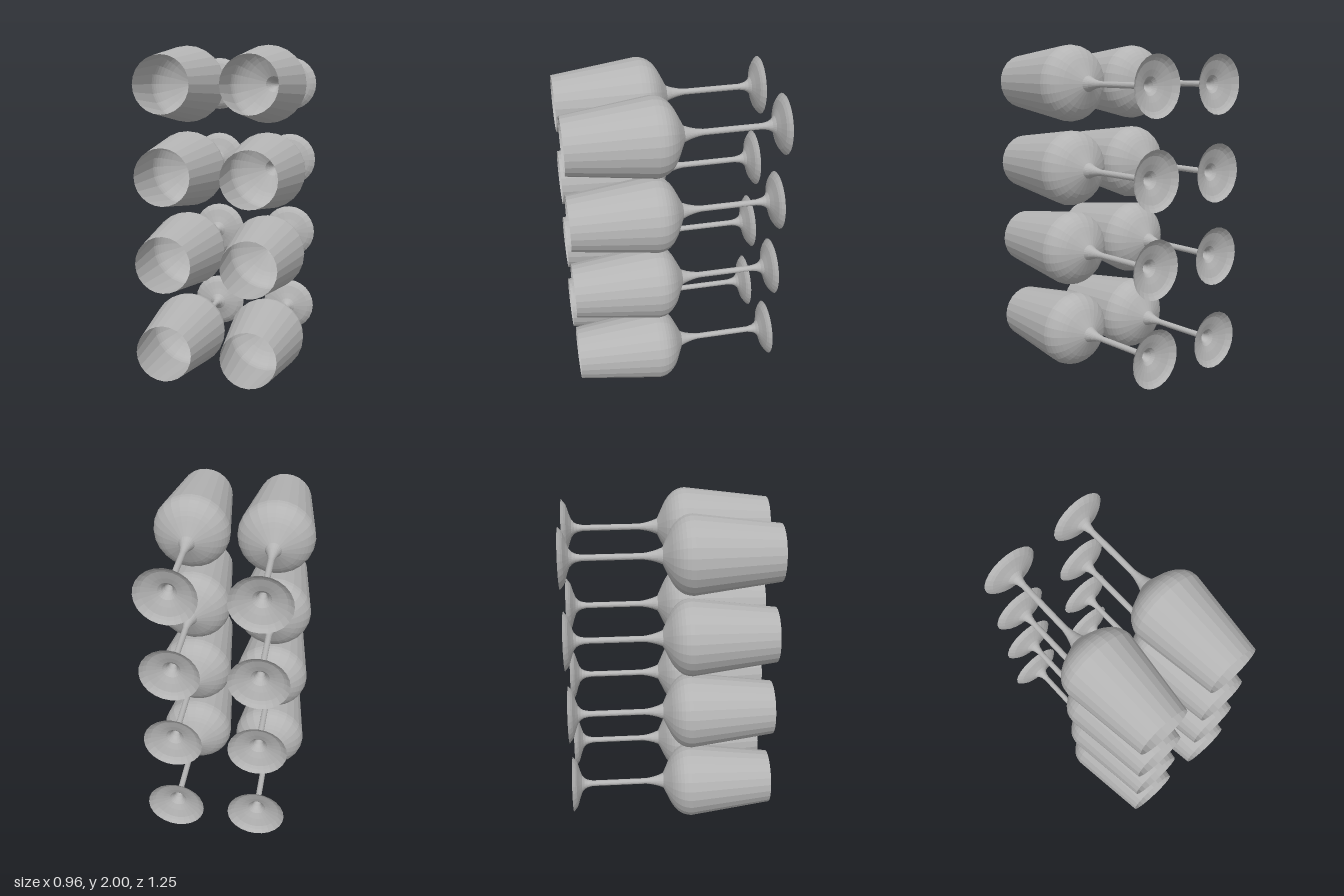
import * as THREE from 'three';

const SEGMENTS = 24;

// Profiles as [radius, position along the glass axis], from foot to rim
const FOOT = [[0.175, -0.624], [0.155, -0.607], [0.139, -0.597], [0.09, -0.582], [0.053, -0.568], [0.035, -0.552], [0.025, -0.533], [0.018, -0.5]];
const STEM = [[0.018, -0.5], [0.018, -0.16], [0.021, -0.137], [0.026, -0.112], [0.035, -0.08], [0.048, -0.048]];
const BOWL = [[0.048, -0.048], [0.125, -0.011], [0.152, 0.003], [0.175, 0.019], [0.193, 0.035], [0.208, 0.053], [0.22, 0.074], [0.227, 0.097], [0.23, 0.122], [0.165, 0.624]];

// Open thin shell turned around the z axis
function turned(profile) {
  const points = profile.map(([r, z]) => new THREE.Vector2(r, z));
  return new THREE.LatheGeometry(points, SEGMENTS).rotateX(Math.PI / 2);
}

export function createModel() {
  const glassGrey = new THREE.MeshStandardMaterial({ color: 0xb4b4b4, flatShading: true, side: THREE.DoubleSide });
  glassGrey.name = 'glassGrey';

  const parts = { foot: turned(FOOT), stem: turned(STEM), bowl: turned(BOWL) };
  const model = new THREE.Group();
  model.name = 'wineGlassStack';

  // Four rows of two glasses lying on their sides, rims to the front
  for (const y of [0.23, 0.753, 1.255, 1.77]) {
    for (const x of [-0.25, 0.25]) {
      const glass = new THREE.Group();
      glass.name = 'wineGlass';
      for (const [name, geometry] of Object.entries(parts)) {
        const mesh = new THREE.Mesh(geometry, glassGrey);
        mesh.name = name;
        glass.add(mesh);
      }
      glass.position.set(x, y, 0);
      model.add(glass);
    }
  }
  return model;
}
